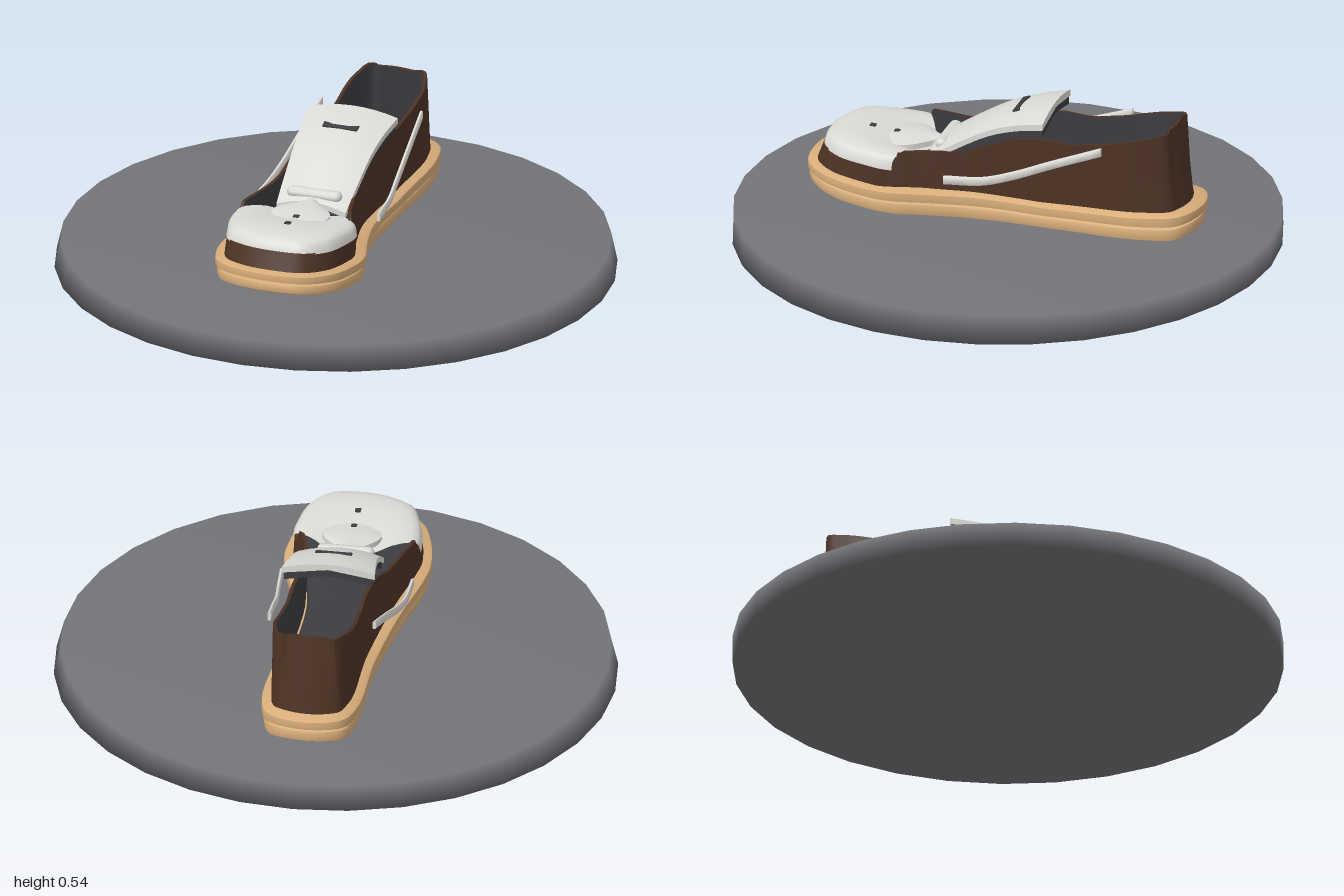
import * as THREE from 'three';
import { toCreasedNormals } from 'three/addons/utils/BufferGeometryUtils.js';

const V = (x, y, z) => new THREE.Vector3(x, y, z);
const material = (name, color, side = THREE.DoubleSide) => {
  const m = new THREE.MeshStandardMaterial({ color, side });
  m.name = name;
  return m;
};

// Piecewise linear lookup in [position, value] pairs sorted by position
function lookup(keys, p) {
  if (p <= keys[0][0]) return keys[0][1];
  for (let i = 1; i < keys.length; i++) {
    const [a, va] = keys[i - 1], [b, vb] = keys[i];
    if (p <= b) return va + (vb - va) * (p - a) / (b - a);
  }
  return keys[keys.length - 1][1];
}

// Skin a list of cross-sections, optionally closing the loops and capping the ends
function loft(rings, { closed = true, startCap = false, endCap = false, crease = 0.7 } = {}) {
  const n = rings[0].length, pos = [], index = [];
  rings.forEach((r) => r.forEach((p) => pos.push(p.x, p.y, p.z)));
  for (let i = 0; i < rings.length - 1; i++) {
    for (let j = 0; j < (closed ? n : n - 1); j++) {
      const k = (j + 1) % n, a = i * n + j, b = i * n + k;
      index.push(a, b, a + n, b, b + n, a + n);
    }
  }
  const cap = (ring, flip) => {
    const c = ring.reduce((s, p) => s.add(p), V(0, 0, 0)).divideScalar(n);
    const base = pos.length / 3;
    pos.push(c.x, c.y, c.z);
    ring.forEach((p) => pos.push(p.x, p.y, p.z));
    for (let j = 0; j < n; j++) {
      const a = base + 1 + j, b = base + 1 + (j + 1) % n;
      index.push(base, flip ? b : a, flip ? a : b);
    }
  };
  if (startCap) cap(rings[0], true);
  if (endCap) cap(rings[rings.length - 1], false);
  const g = new THREE.BufferGeometry();
  g.setAttribute('position', new THREE.Float32BufferAttribute(pos, 3));
  g.setIndex(index);
  return toCreasedNormals(g, crease);
}

// Arched slab running front to back through [z, y, halfWidth] stations
function slab(stations, arch, thick) {
  const path = new THREE.CatmullRomCurve3(stations.map(([z, y, w]) => V(w, y, z)));
  const rings = path.getPoints(16).map((p) => {
    const top = [], bottom = [];
    for (let i = -4; i <= 4; i++) {
      const y = p.y - arch * (i / 4) ** 2;
      top.push(V(p.x * i / 4, y, p.z));
      bottom.unshift(V(p.x * i / 4, y - thick, p.z));
    }
    return [...top, ...bottom];
  });
  return loft(rings, { startCap: true, endCap: true });
}

// Footprint of the sole, heel to toe along -x and back along +x
const FOOTPRINT = [
  [0, -0.73], [-0.13, -0.69], [-0.17, -0.585], [-0.18, -0.24], [-0.22, 0.08], [-0.267, 0.3],
  [-0.278, 0.4], [-0.257, 0.54], [-0.21, 0.645], [-0.12, 0.7], [0, 0.72], [0.13, 0.7],
  [0.213, 0.61], [0.247, 0.46], [0.247, 0.377], [0.2, 0.217], [0.167, 0.056], [0.17, -0.24],
  [0.178, -0.56], [0.14, -0.68],
];
const outlineCurve = new THREE.CatmullRomCurve3(FOOTPRINT.map(([x, z]) => V(x, 0, z)), true, 'centripetal');
const OUTLINE = Array.from({ length: 140 }, (_, i) => {
  const t = outlineCurve.getTangentAt(i / 140);
  return { p: outlineCurve.getPointAt(i / 140), n: V(-t.z, 0, t.x) };
});

// Footprint ring moved inwards, with its height given by a function of z and the normal
const ring = (inset, height) => OUTLINE.map(({ p, n }) => {
  const q = p.clone().addScaledVector(n, -(typeof inset === 'number' ? inset : inset(n)));
  q.y = height(q.z);
  return q;
});

const soleBottom = (z) => lookup([[-0.73, 0.125], [-0.66, 0.108], [-0.4, 0.103], [0.08, 0.105],
  [0.34, 0.117], [0.55, 0.142], [0.73, 0.175]], z);
const soleTop = (z) => lookup([[-0.73, 0.217], [-0.49, 0.205], [-0.18, 0.196], [0.19, 0.206],
  [0.45, 0.221], [0.73, 0.252]], z);
const collar = (z) => lookup([[-0.62, 0.505], [-0.4, 0.45], [-0.28, 0.43], [-0.17, 0.437],
  [-0.05, 0.42], [0.1, 0.36], [0.165, 0.35], [0.35, 0.345], [0.37, 0.288], [0.66, 0.313]], z);
const collarInset = (n) => 0.035 + 0.065 * Math.max(0, -n.z) + 0.025 * Math.max(0, n.z);

export function createModel() {
  const model = new THREE.Group();
  const grey = material('stand grey', 0x737478, THREE.FrontSide);
  const tan = material('sole tan', 0xd8ad7a);
  const brown = material('upper brown', 0x4c3224);
  const white = material('trim white', 0xdcdad5);
  const dark = material('lining charcoal', 0x3d3c41);
  const add = (name, geometry, mat, parent = model) => {
    const mesh = new THREE.Mesh(geometry, mat);
    mesh.name = name;
    parent.add(mesh);
    return mesh;
  };

  // Round display stand, flared sideways at the base
  const stand = new THREE.LatheGeometry(
    [[0, 0], [1, 0], [0.975, 0.1], [0, 0.1]].map(([r, y]) => new THREE.Vector2(r, y)), 32);
  const sp = stand.attributes.position;
  for (let i = 0; i < sp.count; i++) if (sp.getY(i) < 0.05) sp.setZ(i, sp.getZ(i) * 0.975);
  add('stand', stand, grey);

  // Sole with a groove below the welt: [inset, share of height]
  const soleProfile = [[0.03, 0], [0.012, 0.08], [0.007, 0.3], [0.012, 0.47], [0.024, 0.54],
    [0.002, 0.61], [0, 0.75], [0.002, 0.93], [0.014, 1]];
  add('sole', loft(soleProfile.map(([inset, f]) =>
    ring(inset, (z) => soleBottom(z) + (soleTop(z) - soleBottom(z)) * f)),
  { startCap: true, endCap: true }), tan);

  // Upper wall: leans in towards the collar
  const blendInset = (f, extra = 0) => (n) => 0.032 + (collarInset(n) - 0.032) * f + extra +
    0.018 * Math.max(0, -n.z) * (1 - f);
  const wallY = (f) => (z) => soleTop(z) - 0.01 + (collar(z) - soleTop(z) + 0.01) * f;
  const levels = [0, 0.25, 0.5, 0.75, 1];
  const wall = levels.map((f) => ring(blendInset(f), wallY(f)));
  wall.push(ring(blendInset(1, 0.012), wallY(1)));
  add('upper', loft(wall), brown);

  // Lining and insole
  const lining = [...levels].reverse().map((f) => ring(blendInset(f, 0.012), wallY(f)));
  lining.push(ring(0.06, (z) => soleTop(z) + 0.02));
  add('lining', loft(lining, { endCap: true }), dark);

  // Toe cap: domed from the rim to the throat point
  const rim = OUTLINE.filter(({ p }) => p.z > 0.34).map(({ p, n }) => {
    const q = p.clone().addScaledVector(n, -0.032 - 0.028 * Math.max(0, n.z));
    q.y = lookup([[0.35, 0.282], [0.66, 0.308]], q.z);
    return q;
  });
  const dome = [[0, 0], [0.02, 0.03], [0.06, 0.042], [0.13, 0.048], [0.25, 0.05],
    [0.4, 0.046], [0.55, 0.034], [0.7, 0.024], [0.85, 0.028], [0.995, 0.035]];
  add('toeCap', loft(dome.map(([s, rise]) => rim.map((p) =>
    V(p.x * (1 - s), p.y + rise, p.z + (0.25 - p.z) * s))), { closed: false, crease: 1.2 }), white);
  add('throatTab', slab([[0.43, 0.343, 0.09], [0.35, 0.351, 0.105], [0.25, 0.352, 0.02]], 0.012, 0.02), white);

  // Tongue with a padded underside and a rolled front edge
  const tongue = new THREE.Group();
  tongue.name = 'tongue';
  model.add(tongue);
  const tonguePath = [[0.26, 0.34, 0.13], [0.19, 0.385, 0.135], [0.03, 0.477, 0.145],
    [-0.08, 0.515, 0.155], [-0.18, 0.535, 0.167]];
  add('tongueTop', slab(tonguePath, 0.025, 0.022), white, tongue);
  add('tonguePadding', slab(tonguePath.map(([z, y, w]) => [z + 0.004, y - 0.021, w - 0.008]), 0.025, 0.03), dark, tongue);
  const roll = add('tongueRoll', new THREE.CapsuleGeometry(0.02, 0.165, 4, 10), white, tongue);
  roll.rotation.z = Math.PI / 2;
  roll.scale.z = 1.2;
  roll.position.set(0, 0.355, 0.22);

  // Small dark inlays on the tongue and toe
  const bow = new THREE.Shape([[-0.065, 0.014], [-0.03, 0.005], [0.03, 0.005], [0.065, 0.014],
    [0.065, -0.012], [-0.065, -0.012]].map(([x, y]) => new THREE.Vector2(x, y)));
  const inlay = add('tongueInlay', new THREE.ExtrudeGeometry(bow, { depth: 0.006, bevelEnabled: false }), dark, tongue);
  inlay.rotation.x = -Math.PI / 2 + 0.32;
  inlay.position.set(0, 0.504, -0.05);
  for (const [y, z] of [[0.344, 0.41], [0.355, 0.5]]) {
    add('toeDot', new THREE.BoxGeometry(0.02, 0.008, 0.02), dark).position.set(0, y, z);
  }

  // Side straps, thin ribbons rising towards the heel
  const strapPaths = {
    leftStrap: [[0.222, 0.277, 0.17], [0.212, 0.285, 0.03], [0.2, 0.315, -0.08], [0.19, 0.37, -0.22], [0.176, 0.436, -0.4]],
    rightStrap: [[-0.247, 0.277, 0.17], [-0.243, 0.285, 0.03], [-0.232, 0.315, -0.08], [-0.218, 0.37, -0.22], [-0.2, 0.436, -0.4]],
  };
  for (const [name, points] of Object.entries(strapPaths)) {
    const curve = new THREE.CatmullRomCurve3(points.map((p) => V(...p)));
    const corners = [[-0.006, 0.012], [-0.003, 0.016], [0.003, 0.016], [0.006, 0.012],
      [0.006, -0.012], [0.003, -0.016], [-0.003, -0.016], [-0.006, -0.012]];
    const rings = curve.getPoints(20).map((p) => corners.map(([x, y]) => V(p.x + x, p.y + y, p.z)));
    add(name, loft(rings, { startCap: true, endCap: true }), white);
  }
  return model;
}
